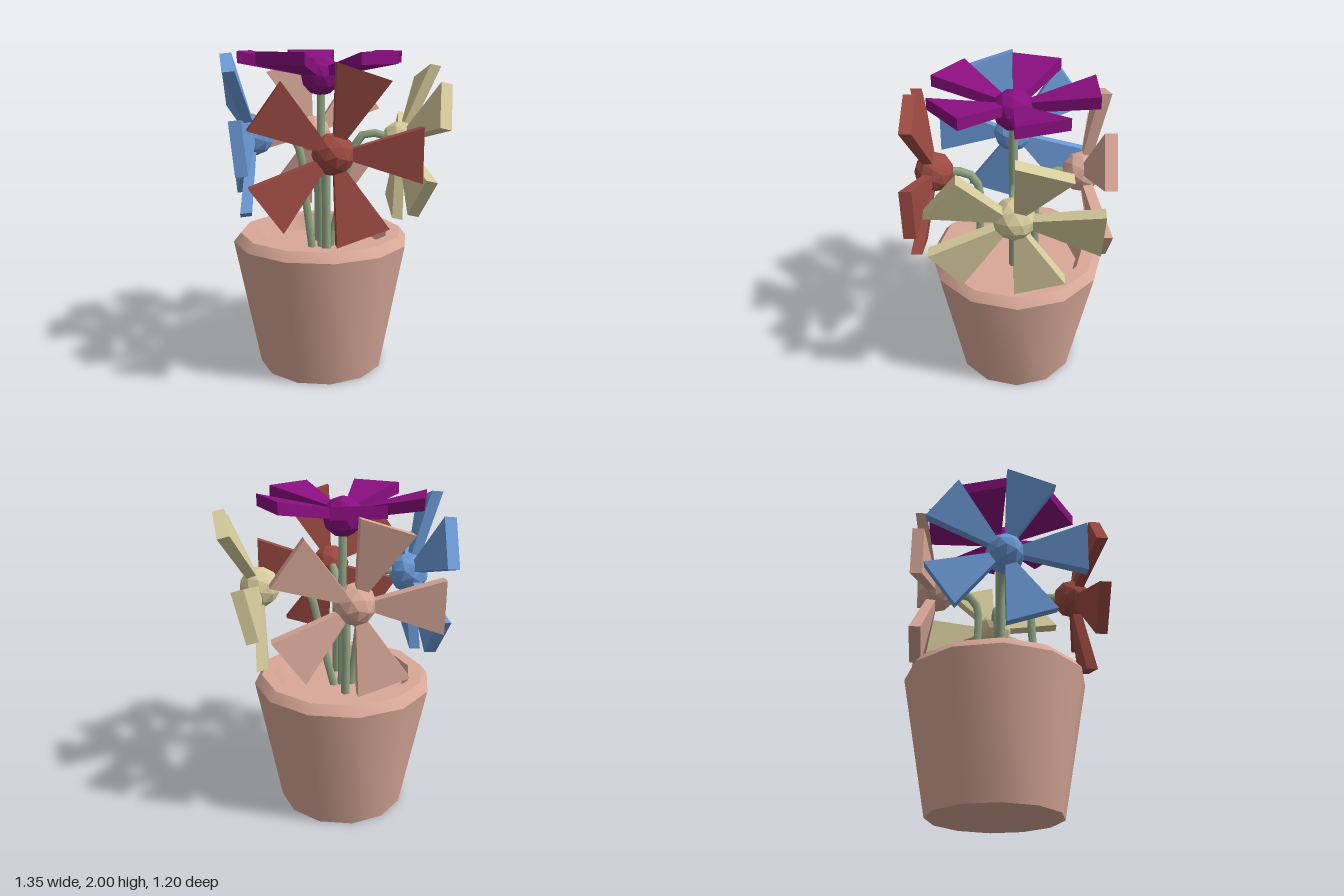
import * as THREE from 'three';
import { toCreasedNormals } from 'three/addons/utils/BufferGeometryUtils.js';

const paint = (color, flatShading = false) => new THREE.MeshStandardMaterial({ color, flatShading });

// Wedge-shaped petal along +x: widens and lifts towards its tip
function petalGeometry() {
  const geo = new THREE.BoxGeometry(1, 1, 1, 2, 1, 1);
  const p = geo.attributes.position;
  for (let i = 0; i < p.count; i++) {
    const t = p.getX(i) + 0.5;
    const halfWidth = 0.035 + 0.12 * t;
    const z = p.getZ(i) > 0 ? 0.06 + 0.085 * t : 0.075 * t;
    p.setXYZ(i, 0.1 + 0.375 * t, 2 * p.getY(i) * halfWidth, z);
  }
  return toCreasedNormals(geo, 0.6);
}

// Faceted ball with a corner pointing along +z
function hubGeometry() {
  const geo = new THREE.IcosahedronGeometry(0.122, 1);
  return geo.rotateX(Math.atan(2 / (1 + Math.sqrt(5))));
}

export function createModel() {
  const model = new THREE.Group();
  const deg = THREE.MathUtils.degToRad;
  const petalGeo = petalGeometry();
  const hubGeo = hubGeometry();
  const stemPaint = paint(0x93a886);

  // Twelve-sided pot with a bevelled rim and a sunken floor
  const profile = [[0, 0], [0.4, 0], [0.555, 0.83], [0.51, 0.885], [0.43, 0.885], [0.39, 0.78], [0, 0.78]]
    .map(([r, y]) => new THREE.Vector2(r, y));
  const pot = new THREE.Mesh(toCreasedNormals(new THREE.LatheGeometry(profile, 12), 0.6), paint(0xd8a898));
  pot.name = 'pot';
  pot.position.set(-0.08, 0, -0.043);
  model.add(pot);

  // Each flower: head centre, turn about y, forward tilt, spin, stem points
  const flowers = [
    { name: 'redFlower', color: 0x9c4a42, at: [-0.08, 1.45, 0.455], turn: 0, tilt: 0, spin: 0,
      stem: [[-0.08, 0.77, 0.19], [-0.08, 1.1, 0.19], [-0.08, 1.36, 0.195], [-0.08, 1.44, 0.26]] },
    { name: 'pinkFlower', color: 0xd8a898, at: [-0.08, 1.45, -0.43], turn: 180, tilt: 0, spin: 0,
      stem: [[-0.08, 0.77, -0.16], [-0.08, 1.1, -0.16], [-0.08, 1.36, -0.165], [-0.08, 1.44, -0.23]] },
    { name: 'yellowFlower', color: 0xd6cb9c, at: [0.42, 1.45, -0.02], turn: 90, tilt: 13, spin: 0,
      stem: [[-0.03, 0.77, -0.02], [0.05, 1.1, -0.02], [0.12, 1.4, -0.02], [0.2, 1.5, -0.02]] },
    { name: 'blueFlower', color: 0x6c9bd8, at: [-0.49, 1.5, -0.02], turn: -90, tilt: 5.3, spin: 0,
      stem: [[-0.14, 0.77, -0.02], [-0.18, 1.1, -0.02], [-0.22, 1.42, -0.02], [-0.3, 1.52, -0.02]] },
    { name: 'purpleFlower', color: 0x8a0f80, at: [-0.08, 1.855, -0.02], turn: 0, tilt: -90, spin: 18,
      stem: [[-0.08, 0.77, -0.02], [-0.08, 1.4, -0.02]] },
  ];

  for (const f of flowers) {
    const flower = new THREE.Group();
    flower.name = f.name;
    model.add(flower);

    // Stem ending inside the hub
    const points = [...f.stem, f.at].map((p) => new THREE.Vector3(...p));
    const curve = new THREE.CatmullRomCurve3(points, false, 'centripetal');
    const stem = new THREE.Mesh(new THREE.TubeGeometry(curve, 12, 0.027, 6), stemPaint);
    stem.name = 'stem';
    flower.add(stem);

    // Head: hub with five petals
    const head = new THREE.Group();
    head.name = 'head';
    head.position.set(...f.at);
    head.rotation.set(deg(f.tilt), deg(f.turn), deg(f.spin), 'YXZ');
    flower.add(head);
    const hub = new THREE.Mesh(hubGeo, paint(f.color, true));
    hub.name = 'hub';
    head.add(hub);
    const petalPaint = paint(f.color);
    for (let i = 0; i < 5; i++) {
      const petal = new THREE.Mesh(petalGeo, petalPaint);
      petal.name = 'petal';
      petal.rotation.z = (i * Math.PI * 2) / 5;
      head.add(petal);
    }
  }
  return model;
}
